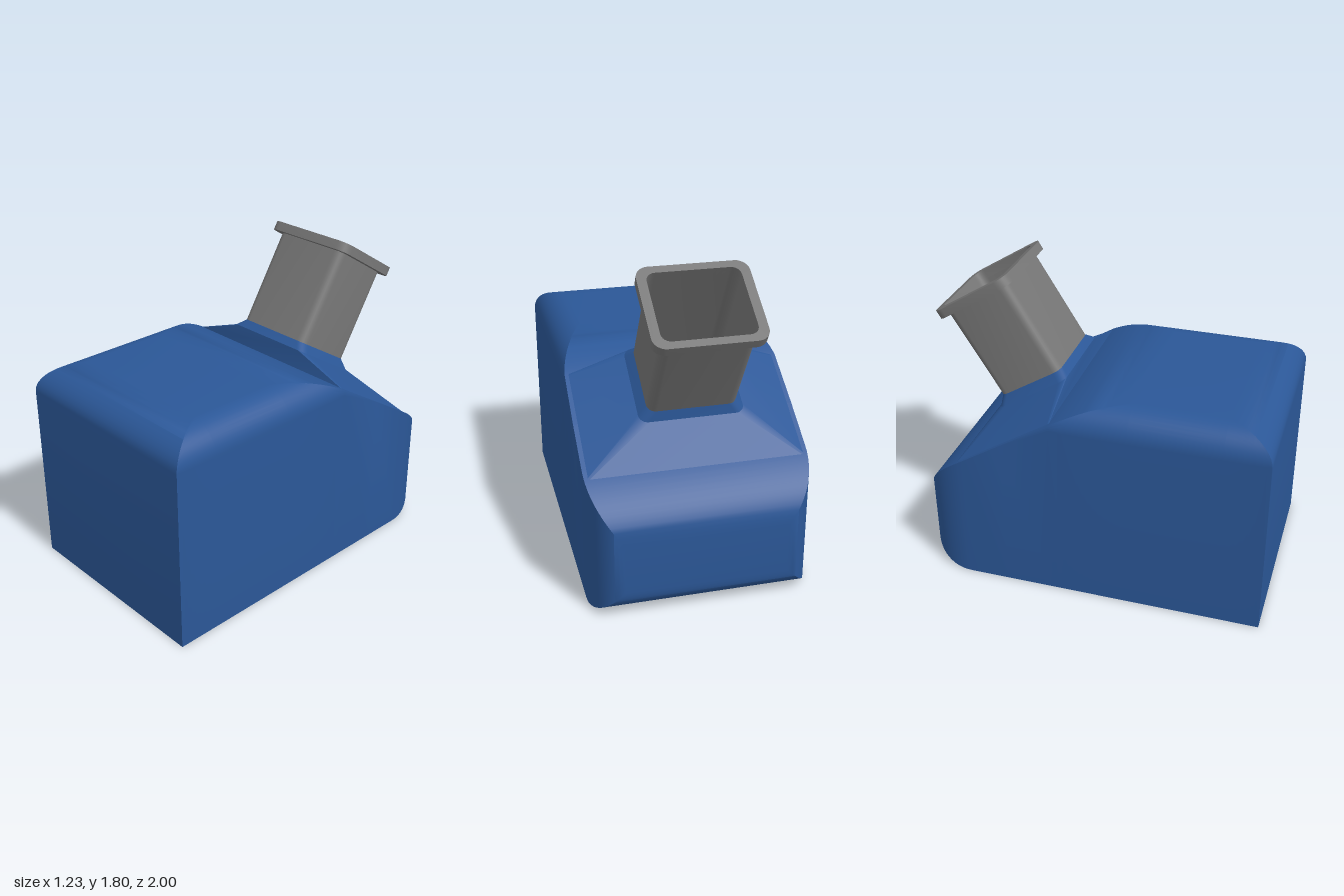
import * as THREE from 'three';
import { toCreasedNormals } from 'three/addons/utils/BufferGeometryUtils.js';

const blue = new THREE.MeshStandardMaterial({ color: 0x2b5797 });
const blueThin = new THREE.MeshStandardMaterial({ color: 0x2b5797, side: THREE.DoubleSide });
const grey = new THREE.MeshStandardMaterial({ color: 0x777777 });
const greyThin = new THREE.MeshStandardMaterial({ color: 0x777777, side: THREE.DoubleSide });

// Skin a row of closed rings, optionally closing both ends
function loft(rings, capped) {
  const n = rings[0].length, index = [];
  for (let i = 0; i < rings.length - 1; i++) {
    for (let j = 0; j < n; j++) {
      const k = (j + 1) % n, a = i * n + j, b = i * n + k;
      index.push(a, a + n, b, b, a + n, b + n);
    }
  }
  if (capped) {
    const last = (rings.length - 1) * n;
    for (let j = 1; j < n - 1; j++) index.push(0, j, j + 1, last, last + j + 1, last + j);
  }
  const g = new THREE.BufferGeometry();
  g.setAttribute('position', new THREE.Float32BufferAttribute(rings.flat(2), 3));
  g.setIndex(index);
  return toCreasedNormals(g, 0.6);
}

function add(parent, name, geometry, material) {
  const mesh = new THREE.Mesh(geometry, material);
  mesh.name = name;
  parent.add(mesh);
  return mesh;
}

// Quarter-ellipse factor: 1 at s = 0, falling to 0 at s = 1
const arc = (s) => Math.sqrt(Math.max(0, 1 - s * s));

// Body outline: top height, bottom height and half width along z
function topAt(z) {
  if (z > 0.743) return 1.07 + 0.16 * arc((z - 0.743) / 0.257);
  if (z > 0.223) return 1.23;
  if (z > -0.216) return 1.23 - 0.122 * ((0.223 - z) / 0.439) ** 2;
  if (z > -0.784) return 1.108 + (z + 0.216) * 0.6215;
  const t = 1 - Math.sqrt(Math.max(0, 1 - (-z - 0.784) / 0.216));
  return 0.755 * (1 - t) ** 2 + 2 * 0.61 * t * (1 - t) + 0.46 * t * t;
}
const backCurve = (z) => arc(Math.max(0, (-z - 0.74) / 0.26));
const bottomAt = (z) => 0.18 * (1 - backCurve(z));
const halfWidthAt = (z) => 0.443 + 0.17 * backCurve(z);

function bodySection(z) {
  const top = topAt(z), h = halfWidthAt(z), right = [];
  const rise = Math.min(top, 1.23) - 1.07, steps = 10;
  for (let i = 0; i <= steps; i++) {
    const y = rise > 0 ? 1.07 + rise * Math.sin((i / steps) * Math.PI / 2) : top;
    const x = 0.443 + 0.17 * arc(Math.max(0, (y - 1.07) / 0.16));
    right.push([Math.min(x, h), y, z]);
  }
  right.unshift([h, bottomAt(z), z]);
  return [...right, ...right.map(([x, y]) => [-x, y, z]).reverse()];
}

function bodyGeometry() {
  const zs = [];
  for (let i = 0; i <= 10; i++) zs.push(0.743 + 0.257 * Math.cos((i / 10) * Math.PI / 2));
  for (let i = 0; i <= 14; i++) zs.push(0.223 - 0.439 * (i / 14));
  zs.push(-0.5);
  for (let i = 0; i <= 14; i++) zs.push(-0.74 - 0.26 * Math.sin((i / 14) * Math.PI / 2));
  return loft(zs.map(bodySection), true);
}

// Rounded rectangle ring lying at height y
function ring(w, d, r, y, cz = 0, cx = 0) {
  const pts = [];
  for (let c = 0; c < 4; c++) {
    const sx = c === 0 || c === 3 ? 1 : -1, sz = c < 2 ? 1 : -1;
    for (let i = 0; i <= 6; i++) {
      const a = (c + i / 6) * Math.PI / 2;
      pts.push([cx + sx * (w / 2 - r) + r * Math.cos(a), y, cz + sz * (d / 2 - r) + r * Math.sin(a)]);
    }
  }
  return pts;
}
const outline = (w, d, r) => ring(w, d, r, 0).map(([x, , z]) => new THREE.Vector2(x, z));

export function createModel() {
  const model = new THREE.Group();
  model.name = 'hopperHousing';
  add(model, 'body', bodyGeometry(), blue);

  // Tilted spout, square to the sloping back
  const spout = new THREE.Group();
  spout.name = 'spout';
  spout.position.set(-0.01, 1.141, -0.447);
  spout.rotation.x = -THREE.MathUtils.degToRad(31.8);
  model.add(spout);

  // Wide base flaring down onto the slope, then a bevelled collar
  const collarFoot = ring(0.58, 0.482, 0.05, -0.05, -0.005);
  add(spout, 'flaredBase', loft([ring(1.18, 0.669, 0.01, -0.151, -0.155, 0.01), collarFoot]), blueThin);
  add(spout, 'collar', loft([collarFoot, ring(0.495, 0.43, 0.05, 0)]), blueThin);

  // Open tube
  add(spout, 'tube', loft([ring(0.495, 0.43, 0.05, 0), ring(0.495, 0.43, 0.05, 0.612)]), greyThin);

  // Rim flange around the mouth
  const rim = new THREE.Shape(outline(0.595, 0.516, 0.07));
  rim.holes.push(new THREE.Path(outline(0.495, 0.43, 0.05)));
  const rimGeometry = new THREE.ExtrudeGeometry(rim, { depth: 0.053, bevelEnabled: false });
  rimGeometry.rotateX(-Math.PI / 2).translate(0, 0.56, 0);
  add(spout, 'rimFlange', toCreasedNormals(rimGeometry, 0.6), grey);

  return model;
}
